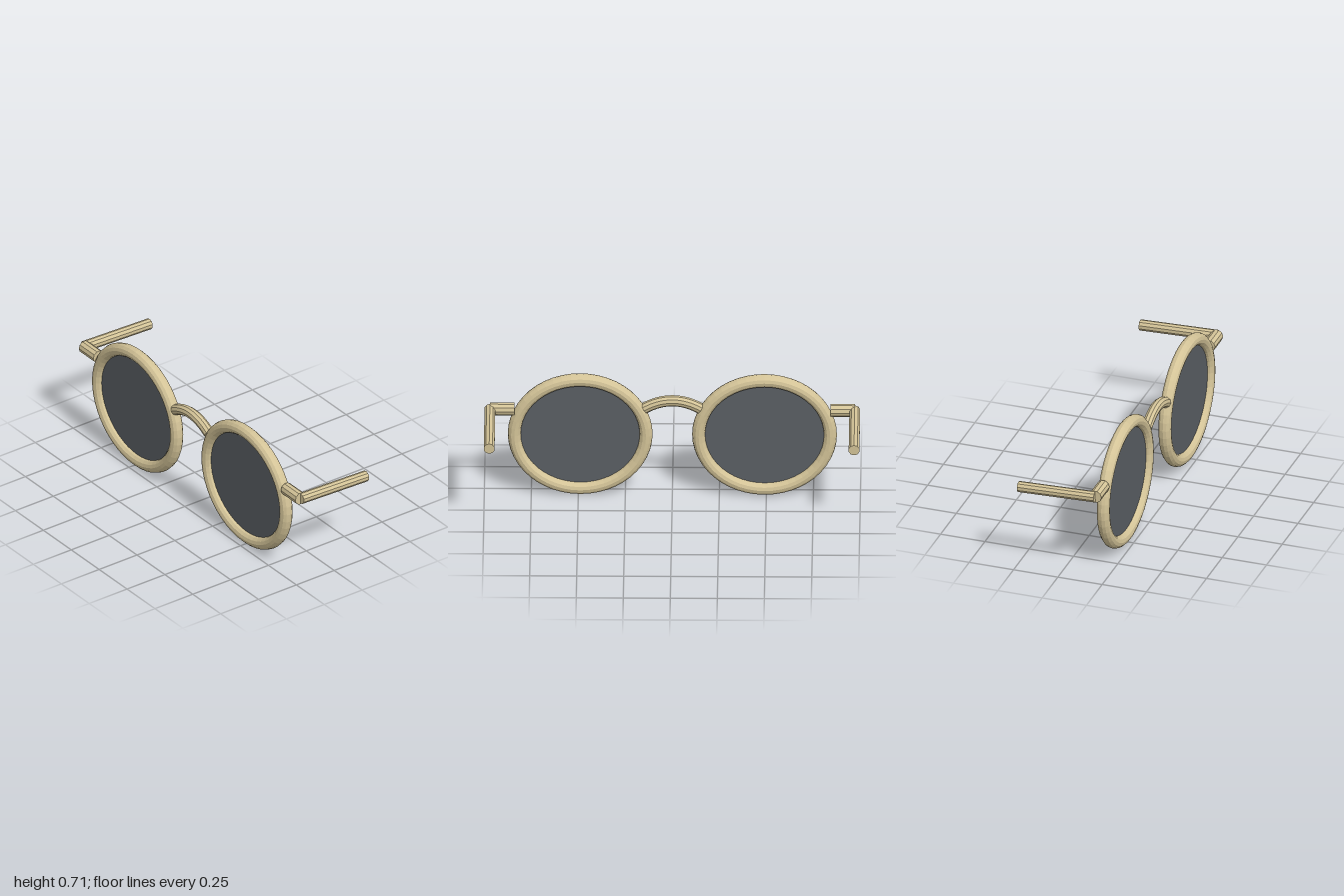
import * as THREE from 'three';

export function createModel() {
  const group = new THREE.Group();
  const frame = new THREE.MeshStandardMaterial({ color: 0xd4c498, flatShading: true });
  frame.name = 'tan frame';
  const tint = new THREE.MeshStandardMaterial({ color: 0x5a5f64 });
  tint.name = 'dark grey lens';

  const Z = 0.2;          // plane of the front frame
  const RX = 0.35, RY = 0.3225, CY = 0.3585;

  function add(name, geometry, material, x = 0, y = 0, z = 0) {
    const mesh = new THREE.Mesh(geometry, material);
    mesh.name = name;
    mesh.position.set(x, y, z);
    group.add(mesh);
    return mesh;
  }

  // Straight round bar between two points
  function rod(name, a, b, radius) {
    const dir = b.clone().sub(a);
    const mid = a.clone().add(b).multiplyScalar(0.5);
    const mesh = add(name, new THREE.CylinderGeometry(radius, radius, dir.length(), 10), frame, mid.x, mid.y, mid.z);
    mesh.quaternion.setFromUnitVectors(new THREE.Vector3(0, 1, 0), dir.normalize());
  }

  // Oval rim: a torus whose centre line is flattened while the tube stays round
  const rim = new THREE.TorusGeometry(RX, 0.035, 12, 48);
  const p = rim.attributes.position;
  for (let i = 0; i < p.count; i++) {
    const x = p.getX(i), y = p.getY(i);
    p.setY(i, y - (RX - RY) * y / Math.hypot(x, y));
  }
  rim.computeVertexNormals();

  // Thin oval lens seated inside the rim
  const lens = new THREE.CylinderGeometry(1, 1, 0.009, 48);
  lens.rotateX(Math.PI / 2);
  lens.scale(RX - 0.02, RY - 0.02, 1);

  for (const [side, s] of [['left', 1], ['right', -1]]) {
    add(side + 'Rim', rim, frame, s * 0.49, CY, Z);
    add(side + 'Lens', lens, tint, s * 0.49, CY, Z);
    rod(side + 'Hinge', new THREE.Vector3(s * 0.84, 0.505, Z), new THREE.Vector3(s * 0.97, 0.505, Z), 0.035);
    rod(side + 'Temple', new THREE.Vector3(s * 0.97, 0.505, Z), new THREE.Vector3(s * 0.97, 0.491, -0.232), 0.03);
  }

  // Arched nose bridge with closed ends
  const arch = new THREE.QuadraticBezierCurve3(
    new THREE.Vector3(-0.15, 0.512, Z),
    new THREE.Vector3(0, 0.604, Z),
    new THREE.Vector3(0.15, 0.512, Z)
  );
  add('bridge', new THREE.TubeGeometry(arch, 20, 0.03, 10, false), frame);
  for (const t of [0, 1]) {
    const end = arch.getPoint(t);
    const cap = add('bridgeEnd', new THREE.CircleGeometry(0.03, 10), frame, end.x, end.y, end.z);
    const out = arch.getTangent(t).multiplyScalar(t ? 1 : -1);
    cap.quaternion.setFromUnitVectors(new THREE.Vector3(0, 0, 1), out);
  }

  return group;
}
